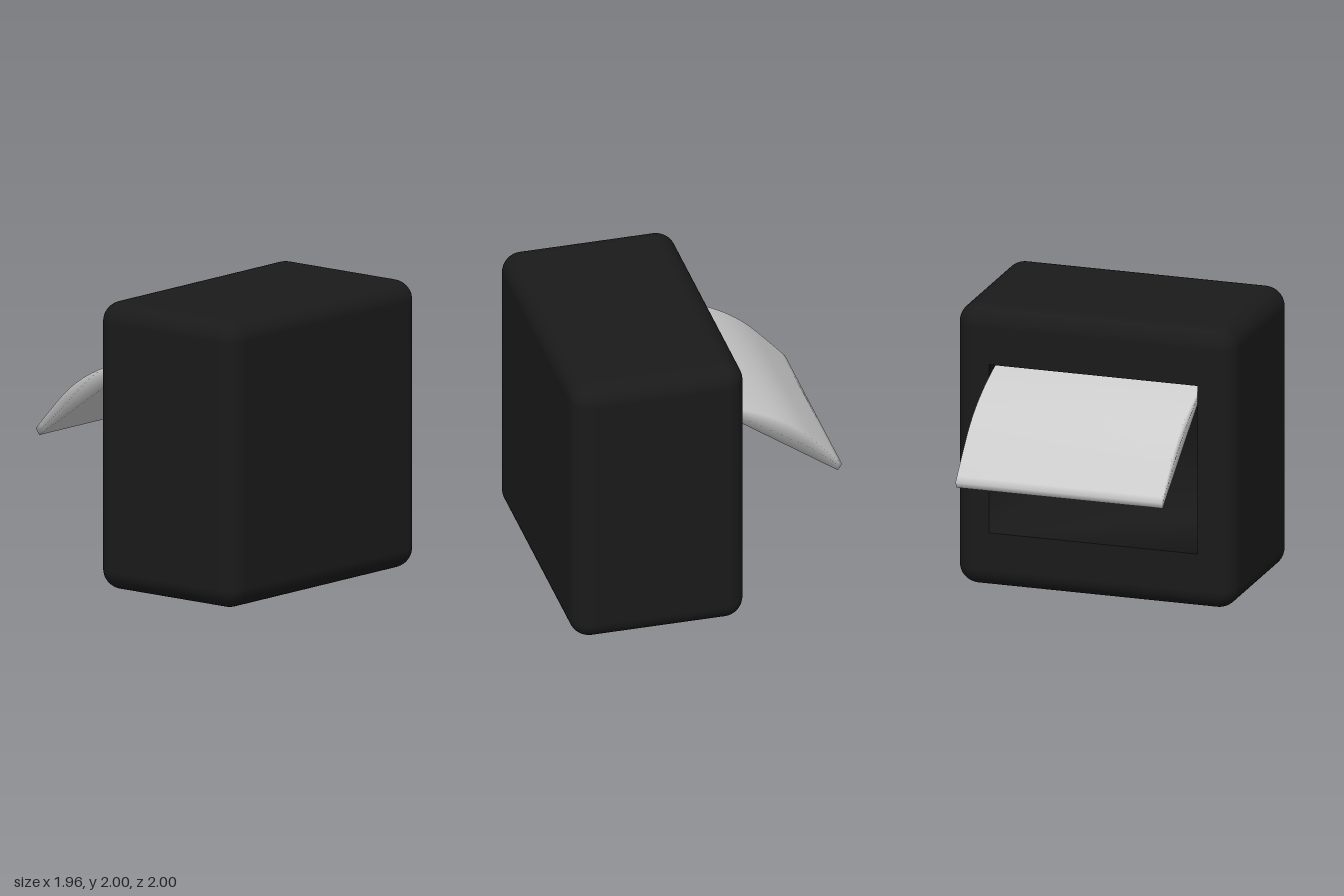
import * as THREE from 'three';
import { RoundedBoxGeometry } from 'three/addons/geometries/RoundedBoxGeometry.js';
import { mergeVertices } from 'three/addons/utils/BufferGeometryUtils.js';

const W = 1.22, H = 2, D = 2, R = 0.14;      // housing size and edge radius
const CX = 0.37, CY = 1;                      // housing centre
const OPEN_H = 1.2, OPEN_D = 1.5, DEPTH = 0.9; // opening in the -x side

function rect(path, w, h) {
  return path.moveTo(-w, -h).lineTo(w, -h).lineTo(w, h).lineTo(-w, h).closePath();
}

// Rounded housing without the flat middle of its -x side
function shellGeometry() {
  const src = new RoundedBoxGeometry(W, H, D, 6, R);
  const g = src.index ? src.toNonIndexed() : src;
  const p = g.attributes.position, n = g.attributes.normal;
  const pos = [], nor = [];
  for (let i = 0; i < p.count; i += 3) {
    if ([0, 1, 2].every(k => p.getX(i + k) < -W / 2 + 1e-4)) continue;
    for (let k = i; k < i + 3; k++) {
      pos.push(p.getX(k), p.getY(k), p.getZ(k));
      nor.push(n.getX(k), n.getY(k), n.getZ(k));
    }
  }
  const out = new THREE.BufferGeometry();
  out.setAttribute('position', new THREE.Float32BufferAttribute(pos, 3));
  out.setAttribute('normal', new THREE.Float32BufferAttribute(nor, 3));
  return out;
}

// Flat side panel with the rectangular opening
function panelGeometry() {
  const shape = rect(new THREE.Shape(), D / 2 - R, H / 2 - R);
  shape.holes.push(rect(new THREE.Path(), OPEN_D / 2, OPEN_H / 2));
  return new THREE.ShapeGeometry(shape).rotateY(-Math.PI / 2).translate(-W / 2, 0, 0);
}

// Softly shaded inner walls of the opening (the face towards -x is left out)
function recessGeometry() {
  const box = new THREE.BoxGeometry(DEPTH, OPEN_H, OPEN_D);
  const idx = Array.from(box.index.array);
  idx.splice(6, 6);
  box.clearGroups();
  box.setIndex(idx);
  box.deleteAttribute('normal');
  box.deleteAttribute('uv');
  const g = mergeVertices(box);
  g.computeVertexNormals();
  return g.translate(-W / 2 + DEPTH / 2, 0, 0);
}

// Solid sloping flap: curved top, flat underside, softly shaded edges
function flapGeometry() {
  const half = 0.74, steps = 24;
  const top = new THREE.CatmullRomCurve3([
    [-0.98, 0.98], [-0.85, 1.125], [-0.7, 1.28], [-0.56, 1.385],
    [-0.4, 1.47], [-0.24, 1.535], [-0.08, 1.585],
  ].map(([x, y]) => new THREE.Vector3(x, y, 0)));
  const pos = [], idx = [];
  for (let i = 0; i <= steps; i++) {
    const t = i / steps, r = top.getPoint(t);
    const x = THREE.MathUtils.lerp(-0.95, -0.06, t);
    const y = THREE.MathUtils.lerp(0.935, 1.565, t);
    pos.push(r.x, r.y, -half, x, y, -half, x, y, half, r.x, r.y, half);
    if (i === steps) break;
    for (let k = 0; k < 4; k++) {
      const a = i * 4 + k, b = i * 4 + (k + 1) % 4;
      idx.push(a, a + 4, b, b, a + 4, b + 4);
    }
  }
  const e = steps * 4;
  idx.push(0, 1, 2, 0, 2, 3, e, e + 2, e + 1, e, e + 3, e + 2);
  const g = new THREE.BufferGeometry();
  g.setAttribute('position', new THREE.Float32BufferAttribute(pos, 3));
  g.setIndex(idx);
  g.computeVertexNormals();
  return g;
}

export function createModel() {
  const model = new THREE.Group();
  const dark = new THREE.MeshStandardMaterial({ color: 0x1a1a1a });
  const inside = new THREE.MeshStandardMaterial({ color: 0x1a1a1a, side: THREE.BackSide });
  const grey = new THREE.MeshStandardMaterial({ color: 0xcccccc });

  const add = (parent, name, geometry, material) => {
    const mesh = new THREE.Mesh(geometry, material);
    mesh.name = name;
    parent.add(mesh);
  };

  const housing = new THREE.Group();
  housing.name = 'housing';
  housing.position.set(CX, CY, 0);
  add(housing, 'housingShell', shellGeometry(), dark);
  add(housing, 'openingPanel', panelGeometry(), dark);
  add(housing, 'openingRecess', recessGeometry(), inside);
  model.add(housing);

  add(model, 'tiltedFlap', flapGeometry(), grey);
  return model;
}
